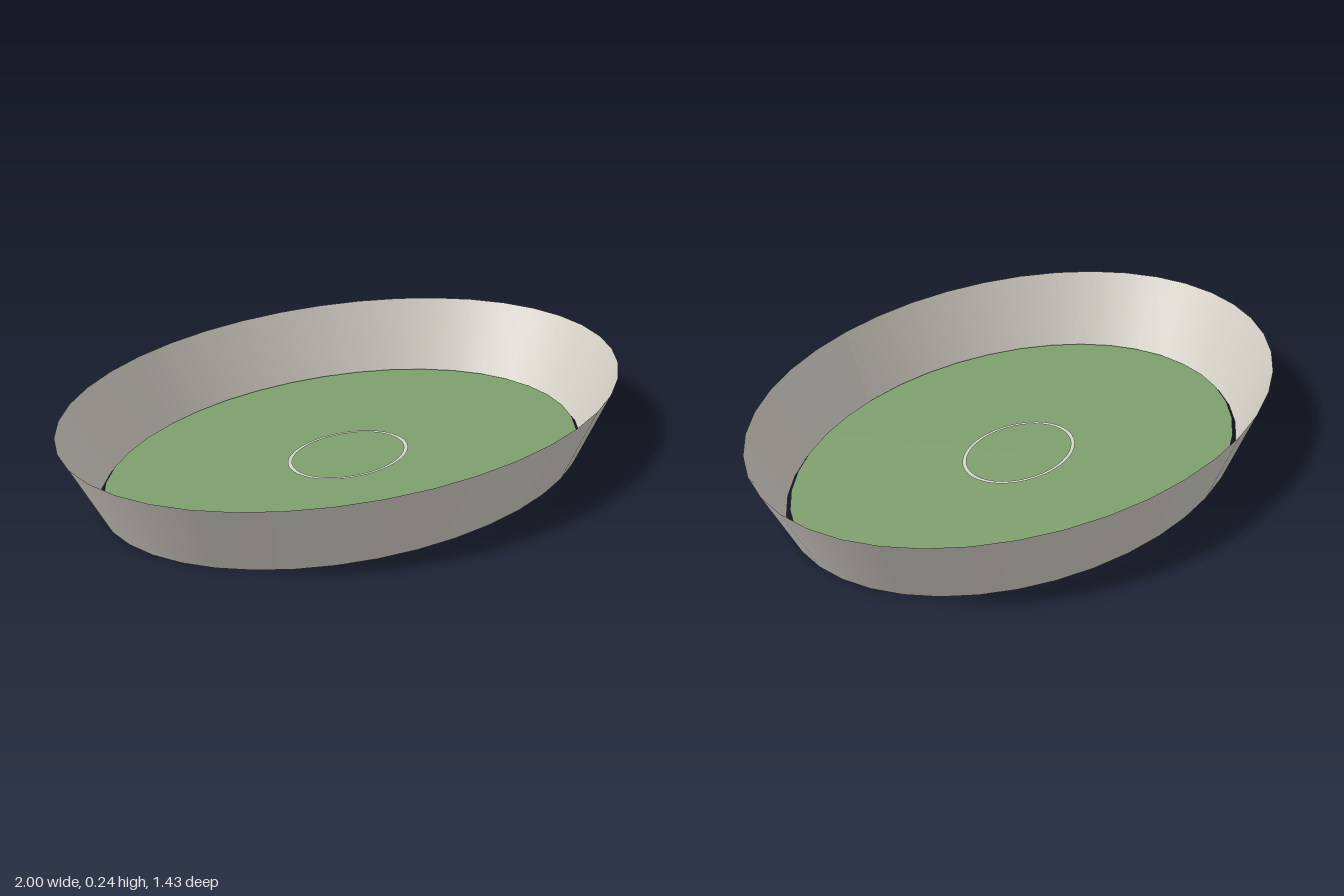
import * as THREE from 'three';

const SIDES = 40;
const DEPTH = 0.717; // ellipse z radius relative to x radius

function part(name, geometry, color, y) {
  geometry.scale(1, 1, DEPTH);
  geometry.computeVertexNormals();
  const mesh = new THREE.Mesh(
    geometry,
    new THREE.MeshStandardMaterial({ color, side: THREE.DoubleSide })
  );
  mesh.name = name;
  mesh.position.y = y;
  return mesh;
}

export function createModel() {
  const group = new THREE.Group();
  group.name = 'ovalTray';

  // Thin flared wall, open at top and bottom
  const wall = new THREE.CylinderGeometry(1, 0.867, 0.24, SIDES, 1, true);
  group.add(part('wall', wall, 0xd2cec5, 0.12));

  // Flat oval floor, raised slightly above the wall's lower rim
  const floor = new THREE.CircleGeometry(0.853, SIDES).rotateX(-Math.PI / 2);
  group.add(part('floor', floor, 0x7f9f6e, 0.017));

  // Pale oval line marked on the centre of the floor
  const ring = new THREE.RingGeometry(0.203, 0.218, SIDES).rotateX(-Math.PI / 2);
  group.add(part('centreRing', ring, 0xcfd8c6, 0.021));

  return group;
}
